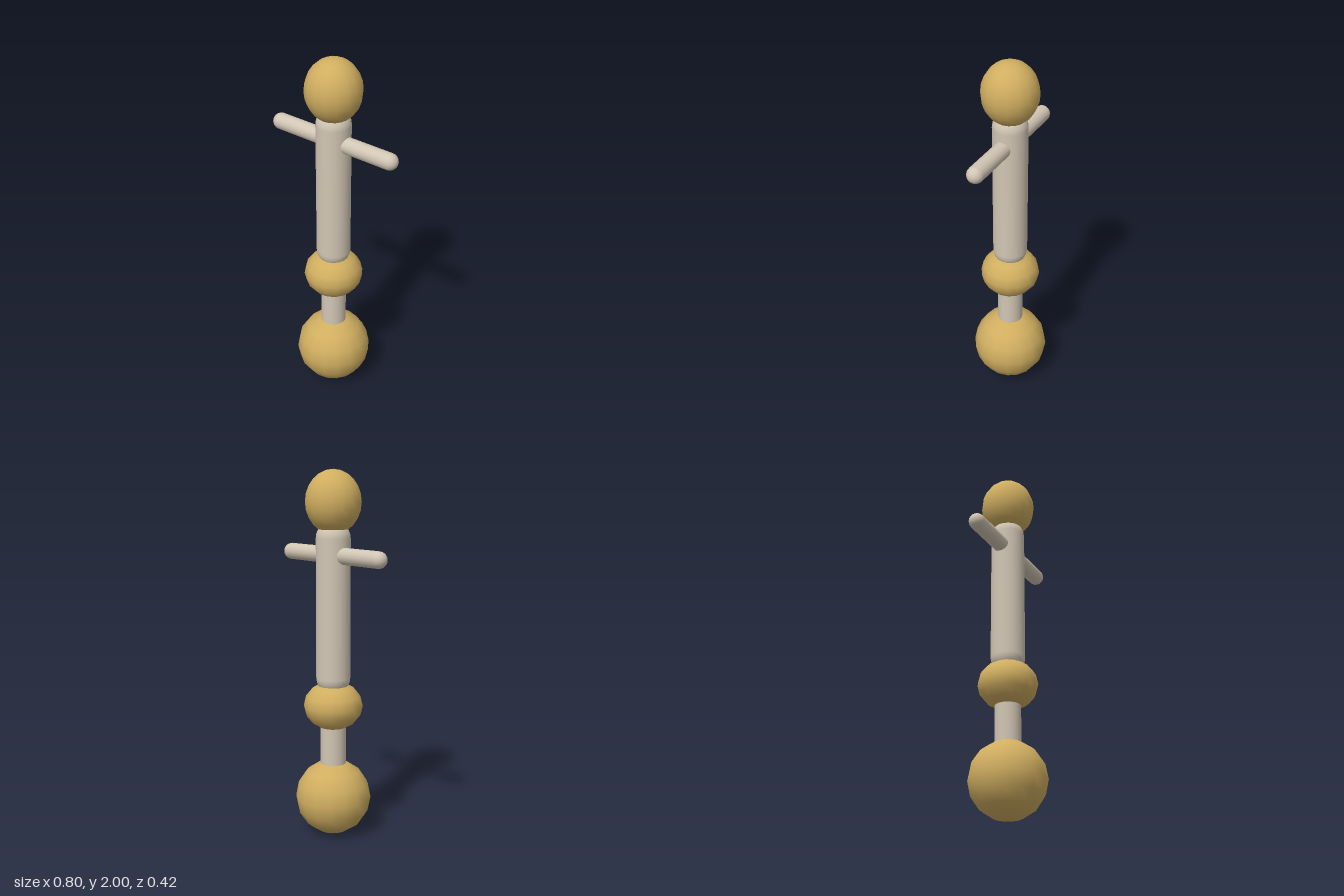
import * as THREE from 'three';

const brass = new THREE.MeshStandardMaterial({ color: 0xd0ae60 });
brass.name = 'brass';
const ivory = new THREE.MeshStandardMaterial({ color: 0xd2c6b4 });
ivory.name = 'ivory';

export function createModel() {
  const group = new THREE.Group();

  const add = (name, geometry, material, y) => {
    const mesh = new THREE.Mesh(geometry, material);
    mesh.name = name;
    mesh.position.y = y;
    group.add(mesh);
    return mesh;
  };

  // Brass knobs: [name, centre height, radius, half height]
  const knobs = [
    ['baseBall', 0.21, 0.208, 0.208],
    ['middleKnob', 0.73, 0.162, 0.135],
    ['topKnob', 1.83, 0.15, 0.17],
  ];
  for (const [name, y, r, h] of knobs) {
    const ball = new THREE.SphereGeometry(1, 16, name === 'topKnob' ? 12 : 8);
    ball.scale(r, h, r);
    add(name, ball, brass, y);
  }

  // Narrow stem between the base ball and the middle knob
  add('stem', new THREE.CylinderGeometry(0.07, 0.07, 0.4, 24), ivory, 0.5);

  // Thick shaft with rounded ends sunk into the knobs
  add('shaft', new THREE.CapsuleGeometry(0.093, 0.755, 6, 24), ivory, 1.263);

  // Crossbar running through the shaft
  const bar = add('crossbar', new THREE.CapsuleGeometry(0.045, 0.705, 6, 16), ivory, 1.55);
  bar.rotation.z = Math.PI / 2;

  return group;
}
